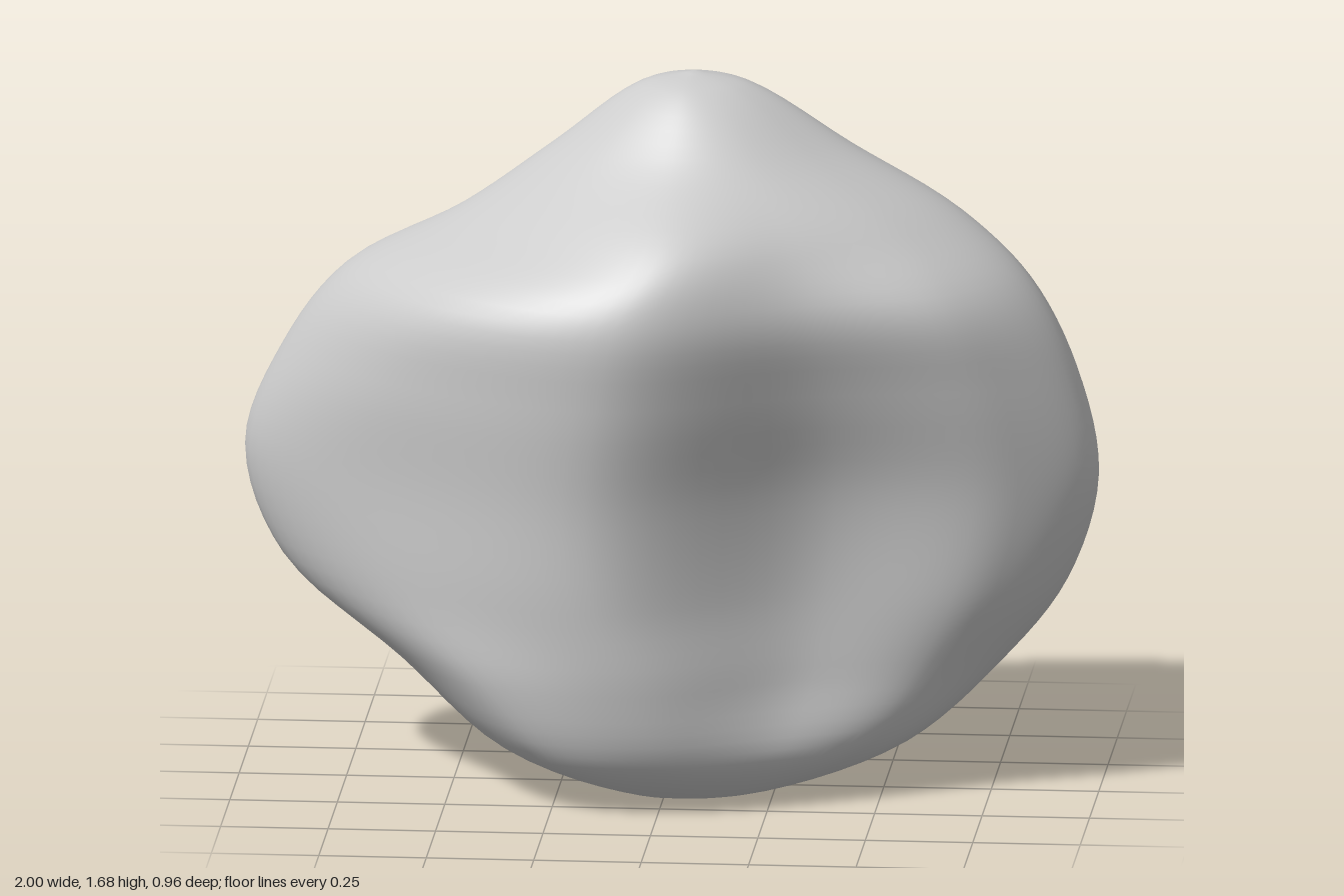
import * as THREE from 'three';
import { mergeVertices } from 'three/addons/utils/BufferGeometryUtils.js';

// Horizontal slices of the boulder, bottom to top:
// y, left tip x z, right tip x z, four front depths, three back depths
const SLICES = [
  [0, 0.06, 0.13, 0.06, 0.13, 0.13, 0.13, 0.13, 0.13, 0.13, 0.13, 0.13],
  [0.018, -0.1, 0.14, 0.25, 0.11, 0.2, 0.21, 0.19, 0.15, 0.1, 0.05, 0.07],
  [0.12, -0.39, 0.1, 0.56, 0.02, 0.32, 0.345, 0.25, 0.13, -0.11, -0.22, -0.19],
  [0.3, -0.64, -0.06, 0.77, -0.03, 0.31, 0.395, 0.2, 0.1, -0.32, -0.42, -0.35],
  [0.5, -0.91, -0.15, 0.925, -0.04, 0.2, 0.415, 0.18, 0.12, -0.39, -0.48, -0.38],
  [0.75, -1, -0.16, 0.997, -0.04, 0.17, 0.43, 0.2, 0.14, -0.385, -0.47, -0.36],
  [1.0, -0.91, -0.14, 0.945, -0.06, 0.24, 0.465, 0.28, 0.18, -0.37, -0.445, -0.355],
  [1.2, -0.76, -0.12, 0.84, -0.08, 0.29, 0.475, 0.33, 0.2, -0.33, -0.4, -0.35],
  [1.35, -0.49, -0.1, 0.68, -0.1, 0.2, 0.39, 0.27, 0.11, -0.28, -0.365, -0.32],
  [1.5, -0.28, -0.1, 0.43, -0.1, 0.07, 0.17, 0.14, 0.03, -0.25, -0.31, -0.26],
  [1.648, -0.08, -0.1, 0.19, -0.1, -0.03, 0.01, 0, -0.04, -0.17, -0.2, -0.17],
  [1.68, 0.05, -0.1, 0.05, -0.1, -0.1, -0.1, -0.1, -0.1, -0.1, -0.1, -0.1],
];
const FRONT = [0.15, 0.42, 0.68, 0.9]; // positions across the width
const BACK = [0.14, 0.5, 0.85];

// Control ring of one slice: left tip, front, right tip, back
function controlRing([y, xl, zl, xr, zr, ...depths]) {
  const at = (f, z) => new THREE.Vector3(xl + (xr - xl) * f, y, z);
  return [
    at(0, zl),
    ...FRONT.map((f, i) => at(f, depths[i])),
    at(1, zr),
    ...BACK.map((f, i) => at(f, depths[4 + i])).reverse(),
  ];
}

// Smooth closed skin through the slices
function boulderGeometry(rows, cols) {
  const rings = SLICES.map(controlRing);
  const columns = rings[0].map((_, k) => new THREE.CatmullRomCurve3(rings.map((r) => r[k])));
  const positions = [];
  const index = [];
  for (let i = 0; i <= rows; i++) {
    const ring = new THREE.CatmullRomCurve3(columns.map((c) => c.getPoint(i / rows)), true);
    for (let j = 0; j < cols; j++) {
      positions.push(...ring.getPoint(j / cols).toArray());
      if (i === rows) continue;
      const a = i * cols + j;
      const b = i * cols + ((j + 1) % cols);
      if (i > 0) index.push(a, b, b + cols);
      if (i < rows - 1) index.push(a, b + cols, a + cols);
    }
  }
  const geo = new THREE.BufferGeometry();
  geo.setAttribute('position', new THREE.Float32BufferAttribute(positions, 3));
  geo.setIndex(index);
  const skin = mergeVertices(geo, 1e-5);
  skin.computeVertexNormals();
  return skin;
}

export function createModel() {
  const group = new THREE.Group();
  group.name = 'rock';
  const boulder = new THREE.Mesh(
    boulderGeometry(66, 90),
    new THREE.MeshStandardMaterial({ color: 0xcccccc })
  );
  boulder.name = 'boulder';
  group.add(boulder);
  return group;
}
